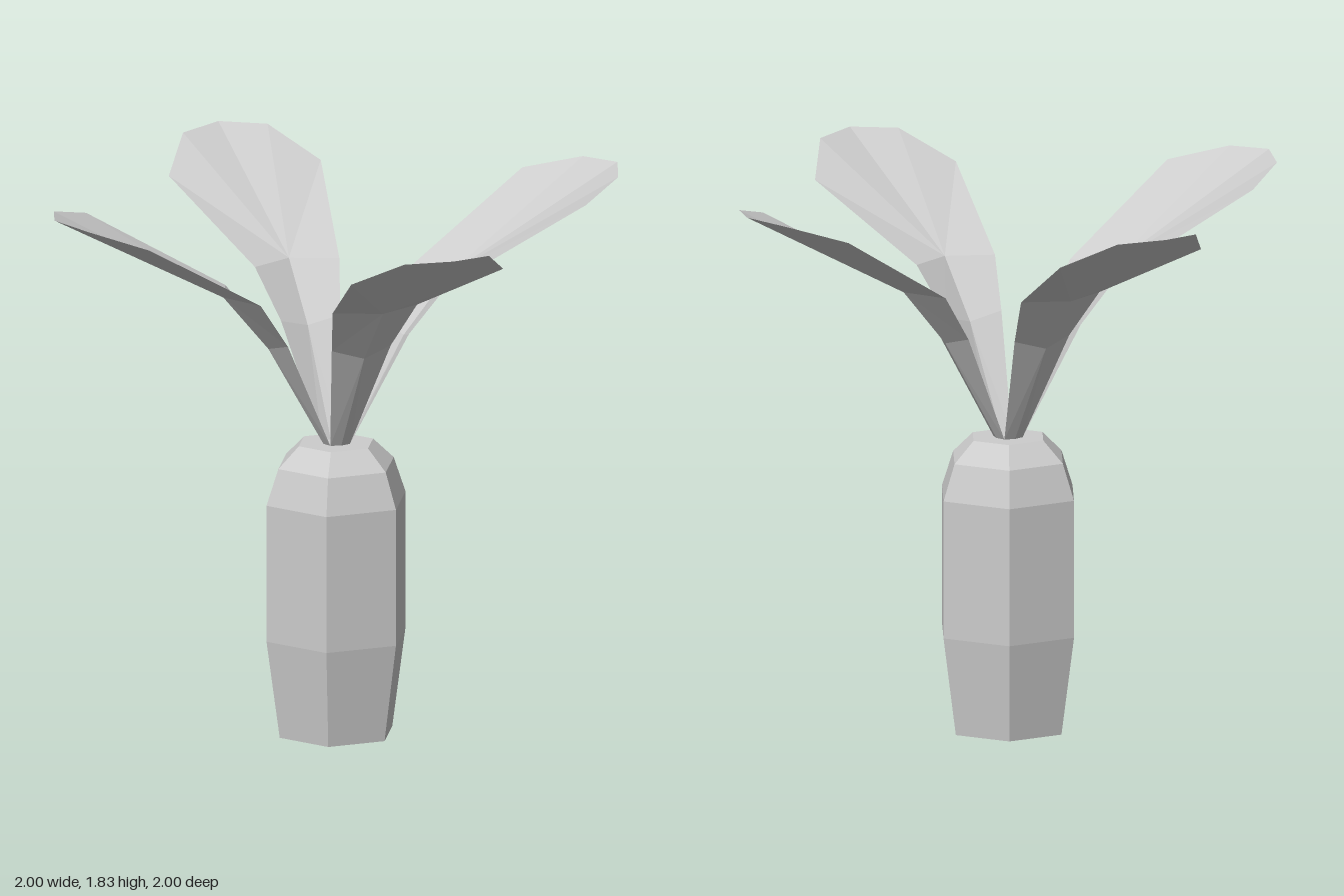
import * as THREE from 'three';

const grey = new THREE.MeshStandardMaterial({ color: 0xcccccc, flatShading: true, side: THREE.DoubleSide });
grey.name = 'pale grey';

// One folded leaf reaching out along +x; rimHeight is the height of its widest corner.
function leafGeometry(rimHeight) {
  const spine = [[0.045, 0.98, 0], [0.24, 1.32, 0], [0.4, 1.51, 0]];
  const edge = [[0.035, 0.98, 0.035], [0.215, 1.35, 0.105], [0.33, 1.51, 0.15]];
  const rim = [edge[2], [0.775, rimHeight, 0.27], [0.94, 1.82, 0.15], [1, 1.83, 0]];
  const positions = [];

  for (const side of [1, -1]) {
    const tri = (a, b, c) => {
      for (const p of side > 0 ? [a, b, c] : [a, c, b]) positions.push(p[0], p[1], p[2] * side);
    };
    // Stalk: two bands between the spine and the edge
    for (let i = 0; i < 2; i++) {
      tri(spine[i], edge[i], spine[i + 1]);
      tri(edge[i], edge[i + 1], spine[i + 1]);
    }
    // Blade: a fan from the bend in the spine
    for (let i = 0; i < 3; i++) tri(spine[2], rim[i], rim[i + 1]);
  }

  const geometry = new THREE.BufferGeometry();
  geometry.setAttribute('position', new THREE.Float32BufferAttribute(positions, 3));
  geometry.computeVertexNormals();
  return geometry;
}

export function createModel() {
  const model = new THREE.Group();
  model.name = 'vaseWithLeaves';

  // Six-sided vase, closed at the top and open underneath
  const profile = [[0.2, 0], [0.247, 0.33], [0.247, 0.79], [0.205, 0.91], [0.132, 0.98], [0, 0.98]];
  const vase = new THREE.Mesh(
    new THREE.LatheGeometry(profile.map(([r, y]) => new THREE.Vector2(r, y)), 6),
    grey
  );
  vase.rotation.y = Math.PI / 6;
  vase.name = 'vase';
  model.add(vase);

  // Four leaves; the front and back pair are a little flatter
  ['leftLeaf', 'backLeaf', 'rightLeaf', 'frontLeaf'].forEach((name, i) => {
    const leaf = new THREE.Mesh(leafGeometry(i % 2 ? 1.725 : 1.77), grey);
    leaf.rotation.y = i * Math.PI / 2;
    leaf.name = name;
    model.add(leaf);
  });

  return model;
}
